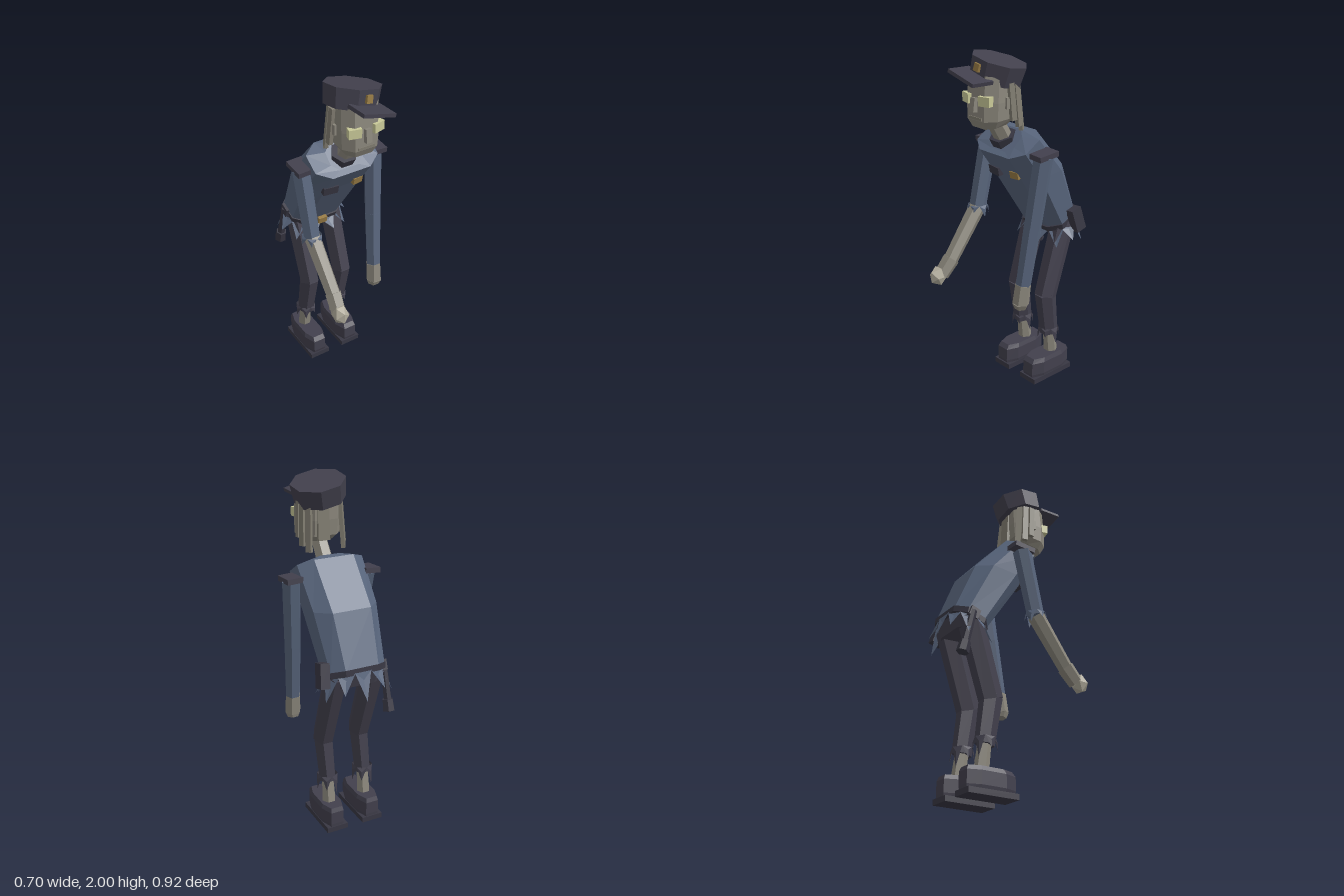
import * as THREE from 'three';

const mat = (name, color) => Object.assign(new THREE.MeshStandardMaterial({ color }), { name });
const V = (x, y, z) => new THREE.Vector3(x, y, z);

export function createModel() {
  const blue = mat('shirt blue', 0x58657c), dark = mat('trouser charcoal', 0x42404d);
  const black = mat('leather dark', 0x383743), skin = mat('dead skin', 0x8b877c);
  const pale = mat('bone grey', 0xb0ab9b), hairM = mat('dull hair', 0x807c70);
  const eyeM = mat('eye yellow', 0xc9c998), gold = mat('old brass', 0x967a44);
  blue.side = dark.side = black.side = THREE.DoubleSide;

  const root = new THREE.Group();
  root.name = 'undeadOfficer';
  root.position.set(0.049, 0, -0.035);
  root.rotation.y = 0.63;

  // faceted mesh
  const add = (name, geo, m, parent = root) => {
    const g = geo.index ? geo.toNonIndexed() : geo;
    g.computeVertexNormals();
    const mesh = new THREE.Mesh(g, m);
    mesh.name = name;
    parent.add(mesh);
    return mesh;
  };
  const box = (name, m, size, pos, rot = [0, 0, 0], parent = root) => {
    const b = add(name, new THREE.BoxGeometry(...size), m, parent);
    b.position.set(...pos);
    b.rotation.set(...rot);
    return b;
  };
  // tapered six-sided prism from a to b, depth stretched front to back
  const limb = (name, m, a, b, ra, rb, depth = 1) => {
    const d = b.clone().sub(a), g = new THREE.CylinderGeometry(rb, ra, d.length(), 6);
    g.rotateY(Math.PI / 6).scale(1, 1, depth);
    const l = add(name, g, m);
    l.position.copy(a).add(b).multiplyScalar(0.5);
    l.quaternion.setFromUnitVectors(V(0, 1, 0), d.normalize());
    return l;
  };
  // eight-sided body from rings: [x, halfWidth, [frontZ, frontY], [backZ, backY]], bottom to top
  const OCT = [[0.6, 1], [1, 0.5], [1, -0.5], [0.6, -1], [-0.6, -1], [-1, -0.5], [-1, 0.5], [-0.6, 1]];
  const loft = (name, m, rings) => {
    const pos = [], idx = [], n = 8;
    for (const [cx, w, f, b] of rings) for (const [px, pz] of OCT) {
      const t = (pz + 1) / 2;
      pos.push(cx + px * w, b[1] + (f[1] - b[1]) * t, b[0] + (f[0] - b[0]) * t);
    }
    for (let r = 0; r < rings.length - 1; r++) for (let i = 0; i < n; i++) {
      const a = r * n + i, b = r * n + (i + 1) % n;
      idx.push(a, b, b + n, a, b + n, a + n);
    }
    const top = (rings.length - 1) * n;
    for (let i = 1; i < n - 1; i++) idx.push(0, i + 1, i, top, top + i, top + i + 1);
    const g = new THREE.BufferGeometry();
    g.setAttribute('position', new THREE.Float32BufferAttribute(pos, 3));
    g.setIndex(idx);
    return add(name, g, m);
  };
  // ragged cloth points hanging round an ellipse; slope tips the ring forward
  const fringe = (name, m, c, rx, rz, n, len, flare, slope = 0) => {
    for (let i = 0; i < n; i++) {
      const a = (i + 0.5) / n * Math.PI * 2, s = Math.sin(a), k = Math.cos(a);
      const l = len * (i % 2 ? 1 : 0.7) * (1 - 0.25 * k);
      const h = 3.24 * Math.max(rx, rz) / n;
      const p = V(c.x + s * rx, c.y - k * rz * slope, c.z + k * rz);
      const q = p.clone().add(V(s * flare, -l, k * flare));
      const t = V(k * rx, s * rz * slope, -s * rz).normalize().multiplyScalar(h);
      const u = p.clone().sub(t), v = p.clone().add(t);
      const o = p.clone().add(V(s * 0.012, -l * 0.3, k * 0.012));
      const g = new THREE.BufferGeometry().setFromPoints([u, o, v, u, q, o, o, q, v]);
      add(name, g, m);
    }
  };

  // legs, shoes and torn cuffs
  for (const s of [-1, 1]) {
    const x = s * 0.115;
    const hip = V(x, 1.0, -0.292), knee = V(x + 0.007, 0.54, -0.143), ankle = V(x, 0.28, -0.186);
    limb('thigh', dark, knee, hip, 0.06, 0.066, 1.2);
    limb('shin', dark, ankle, knee.clone().setY(0.56), 0.05, 0.058, 1.15);
    limb('ankle', skin, V(x, 0.13, -0.205), V(x, 0.31, -0.183), 0.042, 0.036);
    fringe('trouserCuff', dark, V(x, 0.32, -0.182), 0.052, 0.054, 6, 0.098, 0.014);
    box('sole', black, [0.13, 0.032, 0.31], [x, 0.016, -0.163]);
    loft('shoe', dark, [
      [x, 0.062, [-0.018, 0.03], [-0.312, 0.03]],
      [x, 0.066, [-0.012, 0.05], [-0.314, 0.05]],
      [x, 0.066, [-0.014, 0.125], [-0.314, 0.125]],
      [x, 0.057, [-0.034, 0.15], [-0.304, 0.15]],
    ]);
  }

  // hips and stooping torso
  loft('pelvis', dark, [
    [0, 0.15, [-0.21, 0.91], [-0.355, 0.93]],
    [0, 0.165, [-0.19, 0.955], [-0.38, 1.02]],
  ]);
  loft('torso', blue, [
    [0, 0.166, [-0.185, 0.95], [-0.385, 1.035]],
    [0, 0.192, [0.05, 1.31], [-0.262, 1.335]],
    [0, 0.2, [0.148, 1.45], [-0.05, 1.575]],
    [0, 0.1, [0.12, 1.47], [0.005, 1.575]],
  ]);
  loft('belt', black, [
    [0, 0.17, [-0.178, 0.935], [-0.392, 1.015]],
    [0, 0.172, [-0.165, 0.965], [-0.388, 1.05]],
  ]);
  fringe('shirtTail', blue, V(0, 0.985, -0.285), 0.17, 0.105, 11, 0.125, 0.055, 0.42);
  box('buckle', gold, [0.055, 0.04, 0.026], [0, 0.95, -0.165], [0.2, 0, 0]);
  box('hipPouch', black, [0.055, 0.14, 0.07], [0.2, 1.01, -0.305], [0.27, 0, 0.1]);
  box('beltLoop', black, [0.035, 0.06, 0.06], [-0.168, 1.0, -0.3], [0.35, 0, 0]);
  limb('baton', black, V(-0.178, 0.79, -0.36), V(-0.175, 1.01, -0.305), 0.024, 0.02);
  limb('batonKnob', black, V(-0.178, 0.745, -0.372), V(-0.178, 0.81, -0.355), 0.036, 0.032);
  box('pocketFlap', black, [0.09, 0.05, 0.03], [-0.085, 1.322, 0.06], [0.2, -0.1, 0]);
  box('chestBadge', gold, [0.06, 0.042, 0.03], [0.085, 1.335, 0.066], [0.2, 0.1, 0]);

  // collar and neck
  limb('collar', black, V(-0.012, 1.45, 0.04), V(-0.01, 1.545, 0.078), 0.06, 0.076);
  limb('neck', skin, V(-0.005, 1.49, 0.05), V(0, 1.66, 0.155), 0.05, 0.047);

  // right arm: torn sleeve, bare forearm and clawed fist
  const rs = V(-0.225, 1.46, -0.01), re = V(-0.22, 1.07, 0.085), rw = V(-0.212, 0.78, 0.31);
  limb('rightSleeve', blue, re, rs, 0.05, 0.055);
  fringe('rightSleeveTear', blue, V(-0.22, 1.085, 0.085), 0.05, 0.05, 6, 0.065, 0.015);
  limb('rightForearm', skin, rw, re, 0.043, 0.05);
  limb('rightHand', skin, V(-0.22, 0.715, 0.365), V(-0.212, 0.8, 0.295), 0.045, 0.05);
  const fist = add('rightFingers', new THREE.IcosahedronGeometry(0.06, 0), pale);
  fist.position.set(-0.222, 0.715, 0.385);
  fist.scale.set(0.82, 1, 0.95);

  // left arm: full sleeve and hanging hand
  const ls = V(0.235, 1.46, 0.0), le = V(0.212, 1.05, 0.055), lw = V(0.195, 0.7, 0.107);
  limb('leftUpperSleeve', blue, le, ls, 0.05, 0.055);
  limb('leftLowerSleeve', blue, lw, le.clone().setY(1.06), 0.044, 0.05);
  limb('leftHand', skin, V(0.192, 0.605, 0.12), V(0.195, 0.72, 0.105), 0.049, 0.046);
  limb('leftFingers', skin, V(0.19, 0.575, 0.117), V(0.192, 0.61, 0.12), 0.036, 0.049);

  // shoulder boards
  box('rightShoulderBoard', dark, [0.092, 0.03, 0.135], [-0.228, 1.47, -0.018], [0.08, 0, 0.05]);
  box('leftShoulderBoard', dark, [0.092, 0.03, 0.135], [0.238, 1.47, 0.002], [0.08, 0, -0.05]);

  // head and face
  loft('head', skin, [
    [0, 0.085, [0.25, 1.615], [0.09, 1.635]],
    [0, 0.112, [0.272, 1.66], [0.05, 1.67]],
    [0, 0.116, [0.272, 1.76], [0.04, 1.76]],
    [0, 0.112, [0.26, 1.9], [0.04, 1.87]],
  ]);
  box('nose', skin, [0.034, 0.075, 0.04], [0, 1.745, 0.277], [-0.15, 0, 0]);
  box('mouth', hairM, [0.1, 0.014, 0.009], [0, 1.672, 0.272]);
  for (const s of [-1, 1]) {
    box('eye', eyeM, [0.07, 0.052, 0.05], [s * 0.068, 1.772, 0.257], [0, s * 0.25, 0]);
    box('ear', skin, [0.02, 0.06, 0.035], [s * 0.118, 1.755, 0.15]);
    // lank hair strands
    [[0.126, 0.13, 0.21], [0.12, 0.09, 0.25], [0.1, 0.055, 0.28]].forEach(([x, z, h], i) =>
      box('hairStrand', hairM, [0.022, h, 0.034], [s * x, 1.87 - h / 2, z], [0.06, s * i * 0.3, s * 0.05]));
  }
  box('backHair', hairM, [0.07, 0.22, 0.02], [0.02, 1.76, 0.04], [0.05, 0, 0]);

  // cap, tipped back and to the side
  const cap = new THREE.Group();
  cap.name = 'cap';
  cap.position.set(0.003, 1.91, 0.123);
  cap.rotation.set(-0.15, 0.05, -0.2);
  root.add(cap);
  const crown = new THREE.CylinderGeometry(0.156, 0.145, 0.11, 8);
  crown.rotateY(Math.PI / 8);
  add('capCrown', crown, dark, cap);
  box('capPeak', dark, [0.2, 0.02, 0.14], [0, -0.042, 0.178], [0.12, 0, -0.05], cap);
  box('capBadge', gold, [0.036, 0.042, 0.02], [0, 0.008, 0.146], [0, 0, 0], cap);

  return root;
}
